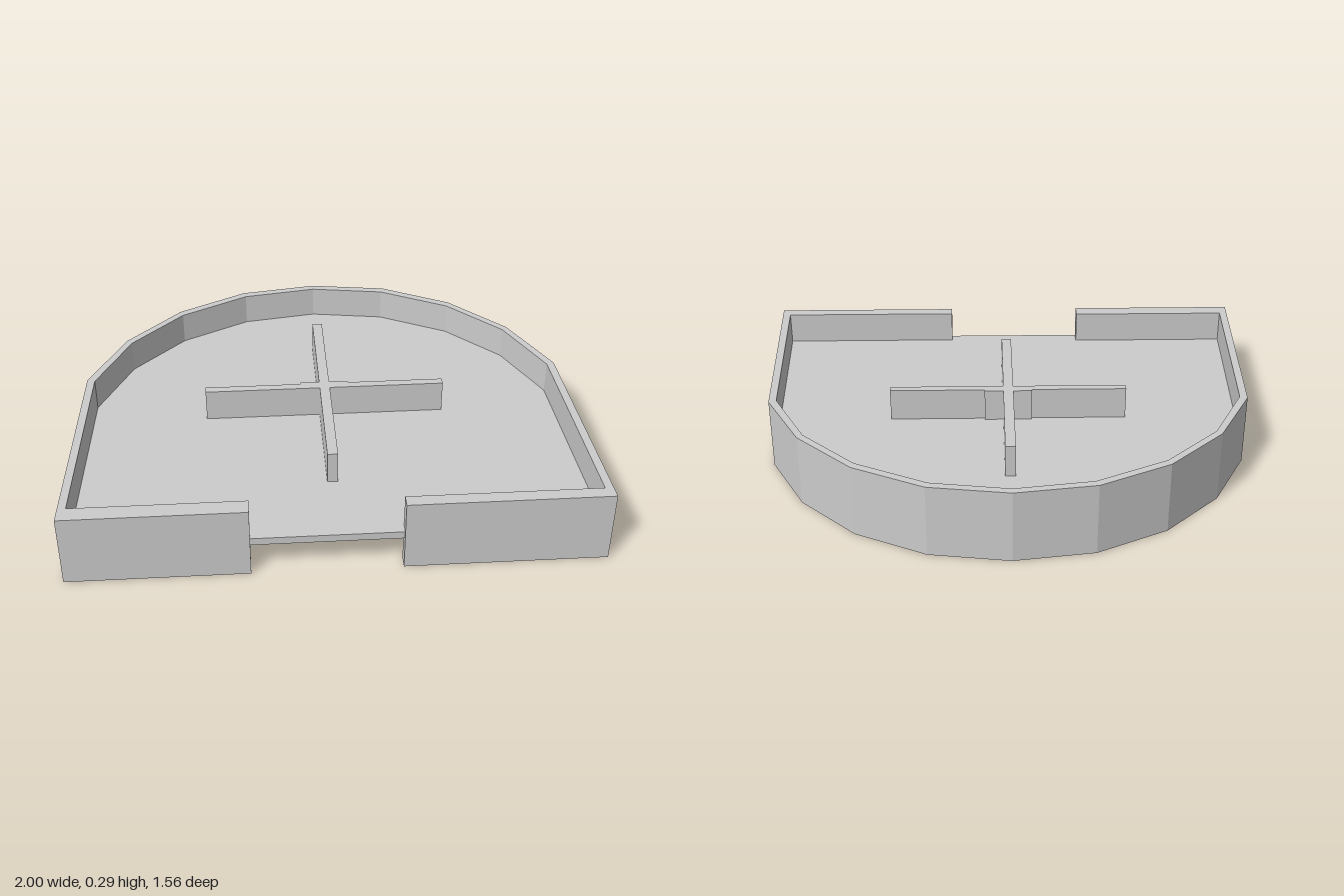
import * as THREE from 'three';
import { toCreasedNormals } from 'three/addons/utils/BufferGeometryUtils.js';

const material = new THREE.MeshStandardMaterial({ color: 0xcccccc });

// Extrudes a plan given as [x, z] points upward from y0 to y1
function extrudePlan(points, y0, y1) {
  const shape = new THREE.Shape(points.map(([x, z]) => new THREE.Vector2(x, -z)));
  const geometry = new THREE.ExtrudeGeometry(shape, { depth: y1 - y0, bevelEnabled: false });
  return geometry.rotateX(-Math.PI / 2).translate(0, y0, 0);
}

// Mirrors half an arch (left side to apex) into a full one
const mirrorArch = (half) => [
  ...half,
  ...half.slice(0, -1).reverse().map(([x, z]) => [-x, z]),
];

export function createModel() {
  const model = new THREE.Group();
  const add = (name, geometry) => {
    const mesh = new THREE.Mesh(geometry, material);
    mesh.name = name;
    model.add(mesh);
  };

  const outer = mirrorArch([[-0.95, -0.09], [-0.805, -0.375], [-0.585, -0.595], [-0.31, -0.735], [0, -0.78]]);
  const inner = mirrorArch([[-0.92, -0.08], [-0.785, -0.355], [-0.575, -0.565], [-0.3, -0.705], [0, -0.75]]);

  // Perimeter wall, open at the front doorway
  const wall = extrudePlan([
    [-0.32, 0.78], [-1, 0.78], ...outer, [1, 0.78], [0.24, 0.78],
    [0.24, 0.73], [0.965, 0.73], ...inner.reverse(), [-0.965, 0.715], [-0.32, 0.715],
  ], 0, 0.29);
  // Smooth outside curve, faceted inside
  const smooth = toCreasedNormals(wall, 0.4);
  const flat = wall.toNonIndexed();
  flat.computeVertexNormals();
  const p = flat.attributes.position, n = flat.attributes.normal, s = smooth.attributes.normal;
  for (let i = 0; i < p.count; i++) {
    const facing = p.getX(i) * n.getX(i) + p.getZ(i) * n.getZ(i);
    if (facing < 0) s.setXYZ(i, n.getX(i), n.getY(i), n.getZ(i));
  }
  add('perimeterWall', smooth);

  // Floor slab halfway up the wall, its edge buried in the wall
  const floorArch = outer.map(([x, z]) => [x * 0.985, z * 0.985]);
  add('floor', extrudePlan([[-0.985, 0.772], ...floorArch, [0.985, 0.772]], 0.13, 0.16));

  // Crossed partitions, running above and below the floor
  add('crossPartition', extrudePlan([
    [-0.475, -0.005], [-0.095, -0.005], [-0.095, -0.015], [-0.02, -0.015],
    [-0.02, -0.455], [0.02, -0.455],
    [0.02, -0.015], [0.095, -0.015], [0.095, -0.005], [0.475, -0.005],
    [0.475, 0.027], [0.02, 0.027], [0.02, 0.465],
    [-0.02, 0.465], [-0.02, 0.027], [-0.475, 0.027],
  ], 0.003, 0.29));

  return model;
}
